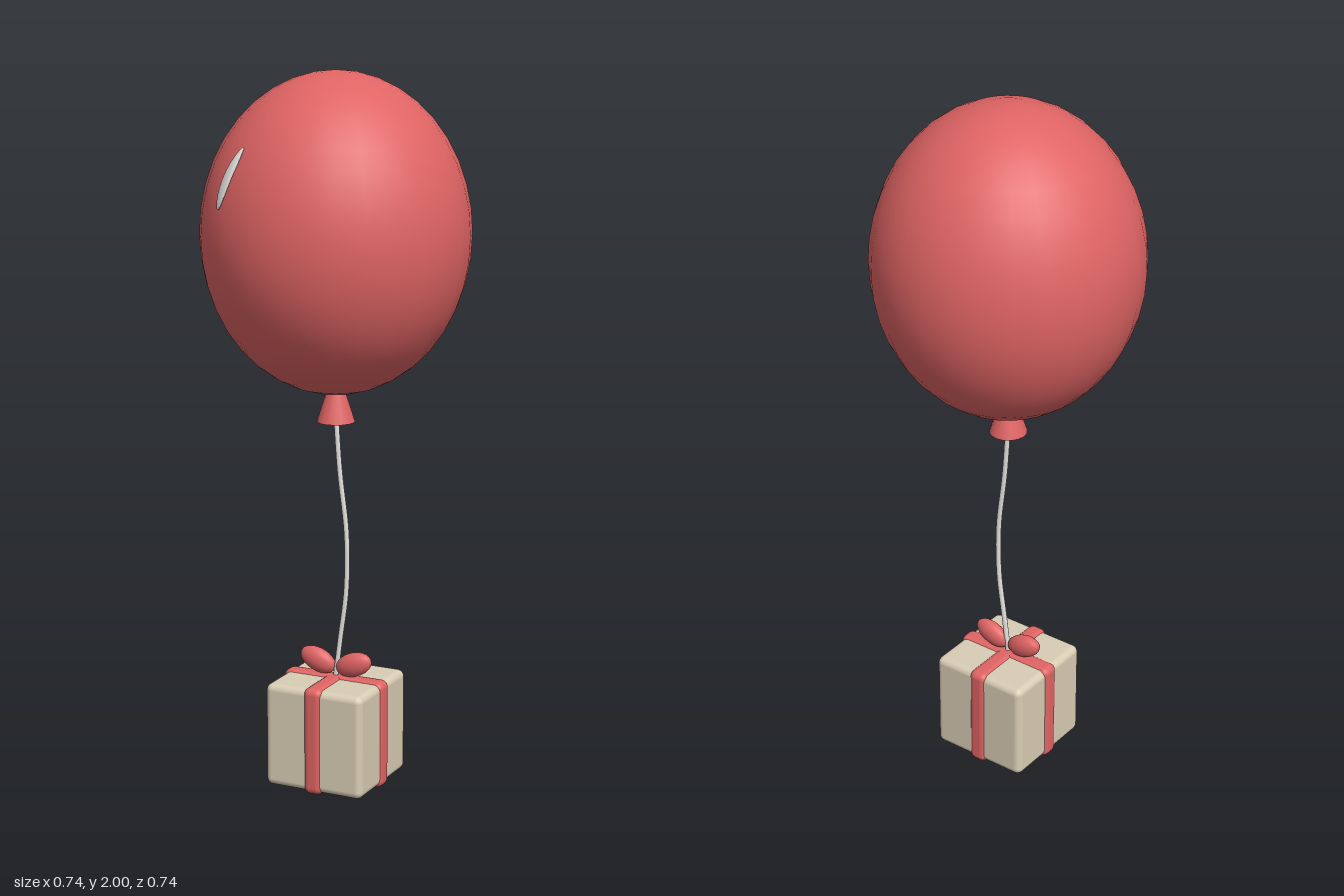
import * as THREE from 'three';
import { RoundedBoxGeometry } from 'three/addons/geometries/RoundedBoxGeometry.js';

const RADIUS = 0.37, HALF_HEIGHT = 0.44, CENTRE_Y = 1.56;

export function createModel() {
  const material = (name, color) => {
    const m = new THREE.MeshStandardMaterial({ color });
    m.name = name;
    return m;
  };
  const red = material('red', 0xe06464);
  const cream = material('cream', 0xd9cdb4);
  const white = material('pale grey', 0xe6e4e0);

  const model = new THREE.Group();
  model.name = 'balloonWithGift';
  const add = (name, geometry, mat, x = 0, y = 0, z = 0) => {
    const mesh = new THREE.Mesh(geometry, mat);
    mesh.name = name;
    mesh.position.set(x, y, z);
    model.add(mesh);
    return mesh;
  };

  // Balloon and its flared knot
  const balloon = new THREE.SphereGeometry(1, 28, 20);
  balloon.scale(RADIUS, HALF_HEIGHT, RADIUS);
  add('balloon', balloon, red, 0, CENTRE_Y, 0);
  add('balloonKnot', new THREE.CylinderGeometry(0.024, 0.053, 0.09, 16), red, 0, 1.085, 0);

  // Shine: a thin curved lens that follows the balloon surface
  const shine = new THREE.SphereGeometry(1, 12, 12);
  const p = shine.attributes.position;
  for (let i = 0; i < p.count; i++) {
    const t = p.getY(i);
    const x = -0.171 + 0.018 * p.getX(i) + 0.03 * t + 0.008 * t * t;
    const y = 1.73 + 0.082 * t;
    const h = (y - CENTRE_Y) / HALF_HEIGHT;
    const z = Math.sqrt(RADIUS * RADIUS * (1 - h * h) - x * x);
    p.setXYZ(i, x, y, z + 0.002 + 0.009 * p.getZ(i));
  }
  shine.computeVertexNormals();
  add('shine', shine, white);

  // String
  const path = new THREE.CatmullRomCurve3([
    [0, 1.06], [0.012, 0.9], [0.033, 0.72], [0.032, 0.56], [0.014, 0.42], [0, 0.31],
  ].map(([x, y]) => new THREE.Vector3(x, y, 0)));
  add('string', new THREE.TubeGeometry(path, 32, 0.0075, 8), white);

  // Gift box with crossing ribbon bands
  add('giftBox', new RoundedBoxGeometry(0.298, 0.298, 0.298, 3, 0.02), cream, 0, 0.155, 0);
  add('ribbonFrontToBack', new RoundedBoxGeometry(0.058, 0.31, 0.31, 3, 0.02), red, 0, 0.155, 0);
  add('ribbonSideToSide', new RoundedBoxGeometry(0.31, 0.31, 0.058, 3, 0.02), red, 0, 0.155, 0);

  // Bow loops
  for (const side of [1, -1]) {
    const loop = new THREE.SphereGeometry(1, 16, 12);
    loop.scale(0.057, 0.034, 0.025);
    add(side > 0 ? 'bowLoopLeft' : 'bowLoopRight', loop, red, side * 0.056, 0.346, 0)
      .rotation.z = side * 0.35;
  }
  return model;
}
